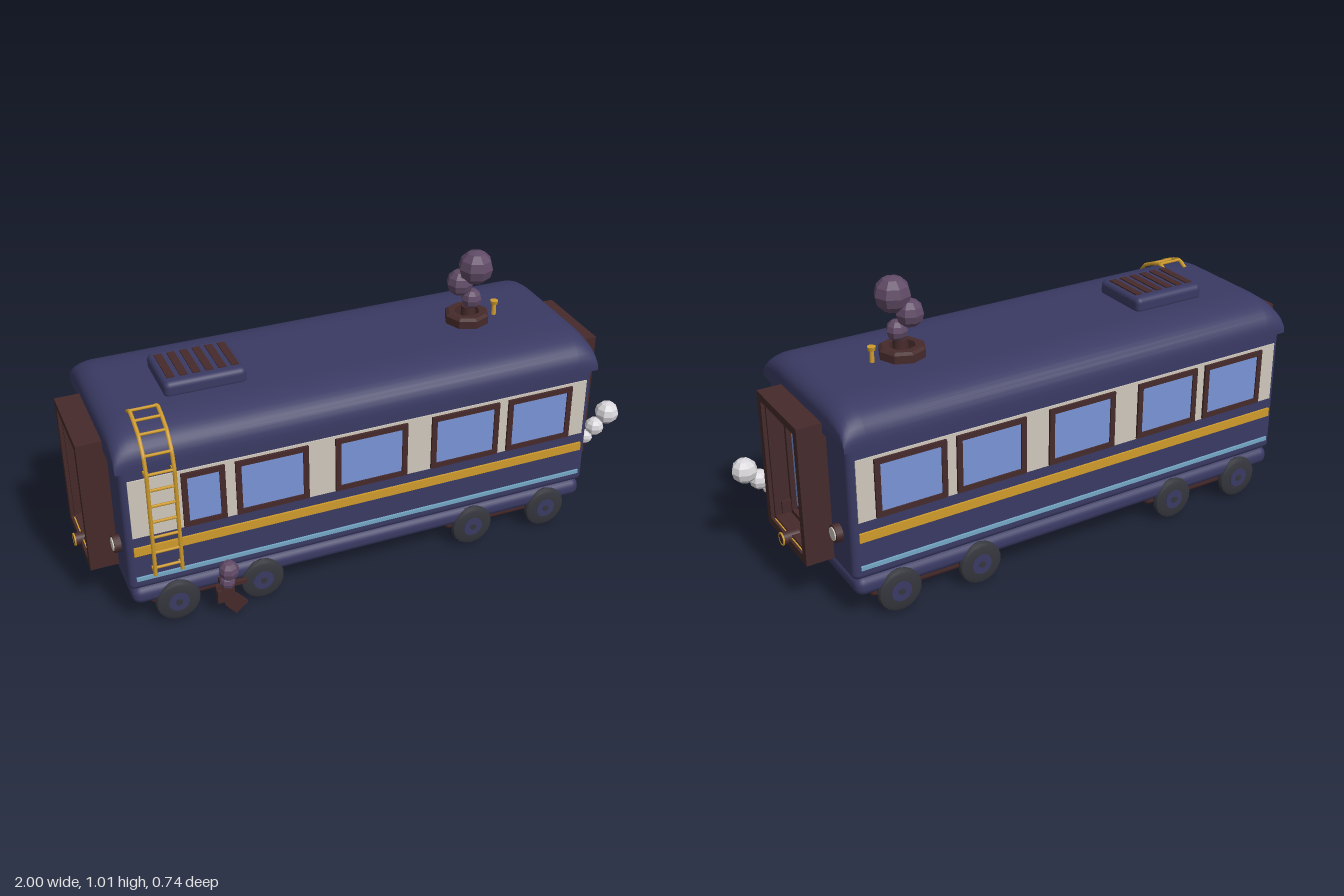
import * as THREE from 'three';
import { toCreasedNormals } from 'three/addons/utils/BufferGeometryUtils.js';
import { RoundedBoxGeometry } from 'three/addons/geometries/RoundedBoxGeometry.js';

const paint = (name, color) => Object.assign(new THREE.MeshStandardMaterial({ color }), { name });
const navy = paint('navy', 0x3a3a64), brown = paint('dark brown', 0x462a2b), cream = paint('cream', 0xcfc8bd);
const brass = paint('brass', 0xd09c2c), glass = paint('window blue', 0x7893d6), aqua = paint('pale blue', 0x74a8c6);
const smoke = paint('purple smoke', 0x604a66), steam = paint('white steam', 0xdad8dc), rubber = paint('rubber', 0x34363d);

const CX = -0.038, CZ = -0.043; // centre of the carriage

function add(parent, name, geo, mat, x = 0, y = 0, z = 0) {
  const m = new THREE.Mesh(geo, mat);
  m.name = name;
  m.position.set(x, y, z);
  parent.add(m);
  return m;
}
const box = (w, h, d) => new THREE.BoxGeometry(w, h, d);
const rbox = (w, h, d, r) => new RoundedBoxGeometry(w, h, d, 3, r);
const cylX = (r, len, n = 16) => new THREE.CylinderGeometry(r, r, len, n).rotateZ(Math.PI / 2);
const V = (...p) => new THREE.Vector3(...p);

// Rectangular frame in the XY plane, centred on the origin
function frameGeo(w, h, border, depth) {
  const rect = (C, a, b) => new C([[-a, -b], [a, -b], [a, b], [-a, b]].map(p => new THREE.Vector2(...p)));
  const s = rect(THREE.Shape, w / 2, h / 2);
  s.holes.push(rect(THREE.Path, w / 2 - border, h / 2 - border));
  return new THREE.ExtrudeGeometry(s, { depth, bevelEnabled: false }).translate(0, 0, -depth / 2);
}

// Straight-segment tube through points
function pipe(points, r, n = 6) {
  const path = new THREE.CurvePath();
  for (let i = 1; i < points.length; i++) path.add(new THREE.LineCurve3(points[i - 1], points[i]));
  return new THREE.TubeGeometry(path, points.length * 6, r, n);
}

// Chain of faceted puffs, each [x, y, z, radius]
function puffs(parent, name, mat, list) {
  for (const [x, y, z, r] of list) {
    const g = new THREE.SphereGeometry(r, 8, 6).toNonIndexed();
    g.computeVertexNormals();
    add(parent, name, g, mat, x, y, z);
  }
}

// Domed roof: arched profile swept along the length, lowered toward both ends
function roofGeo() {
  const s = new THREE.Shape();
  s.moveTo(-0.316, 0.62);
  s.lineTo(0.316, 0.62);
  s.lineTo(0.316, 0.64);
  s.quadraticCurveTo(0.31, 0.735, 0.15, 0.737);
  s.lineTo(-0.15, 0.737);
  s.quadraticCurveTo(-0.31, 0.735, -0.316, 0.64);
  const inset = [0, 0.004, 0.015, 0.033, 0.055, 0.075];
  const stations = [...inset.map(d => d - 0.858), ...inset.map(d => 0.858 - d).reverse()];
  const n = stations.length - 1;
  const g = new THREE.ExtrudeGeometry(s, { depth: n, steps: n, bevelEnabled: false, curveSegments: 10 });
  const p = g.attributes.position;
  for (let i = 0; i < p.count; i++) {
    const at = stations[Math.round(p.getZ(i))];
    const k = 1 - Math.min((0.858 - Math.abs(at)) / 0.075, 1);
    p.setZ(i, at);
    p.setY(i, 0.62 + (p.getY(i) - 0.62) * (0.55 + 0.45 * Math.sqrt(1 - k * k)));
  }
  return toCreasedNormals(g.rotateY(Math.PI / 2), 0.6);
}

// Gangway, door, lamps and buffer for one end, facing +x
function buildEnd() {
  const end = new THREE.Group();
  const frame = (name, w, h, b, d, x) => add(end, name, frameGeo(w, h, b, d).rotateY(Math.PI / 2), brown, x, 0.41, 0);
  frame('gangwayHood', 0.317, 0.49, 0.028, 0.12, 0.883);
  frame('gangwayInnerFrame', 0.27, 0.445, 0.014, 0.095, 0.883);
  frame('doorFrame', 0.246, 0.42, 0.016, 0.03, 0.861);
  add(end, 'doors', box(0.015, 0.42, 0.24), brown, 0.85, 0.41, 0);
  add(end, 'doorStrip', box(0.012, 0.4, 0.01), brown, 0.861, 0.41, 0);
  for (const s of [-1, 1]) {
    add(end, 'doorGlass', box(0.006, 0.355, 0.084), glass, 0.859, 0.412, s * 0.056);
    const z = s * 0.217;
    add(end, 'lampRim', cylX(0.03, 0.04, 12), brown, 0.85, 0.295, z);
    add(end, 'lampLens', cylX(0.023, 0.006, 12), cream, 0.871, 0.295, z);
  }
  add(end, 'threshold', box(0.09, 0.008, 0.24), brass, 0.89, 0.19, 0);
  add(end, 'buffer', cylX(0.022, 0.06), brown, 0.932, 0.188, 0);
  add(end, 'bufferRing', new THREE.TorusGeometry(0.02, 0.0035, 6, 16).rotateY(Math.PI / 2), brass, 0.96, 0.188, 0);
  return end;
}

// Windows and stripes for one side, facing +z
function buildSide(windows) {
  const side = new THREE.Group();
  add(side, 'creamBand', box(1.645, 0.218, 0.008), cream, 0, 0.474, 0.306);
  add(side, 'brassStripe', box(1.645, 0.032, 0.012), brass, 0, 0.31, 0.307);
  add(side, 'paleStripe', box(1.645, 0.014, 0.012), aqua, 0, 0.2, 0.307);
  for (const [a, b] of windows) {
    const x = (a + b) / 2 - CX;
    add(side, 'windowFrame', frameGeo(b - a, 0.205, 0.019, 0.022), brown, x, 0.471, 0.307);
    add(side, 'windowGlass', box(b - a - 0.03, 0.175, 0.006), glass, x, 0.471, 0.31);
  }
  return side;
}

function buildWheel() {
  const wheel = new THREE.Group();
  const profile = [[0.03, -0.015], [0.064, -0.015], [0.074, -0.01], [0.078, 0], [0.074, 0.01], [0.064, 0.015], [0.03, 0.015]];
  const tyre = new THREE.LatheGeometry(profile.map(p => new THREE.Vector2(...p)), 18).rotateX(Math.PI / 2);
  add(wheel, 'tyre', toCreasedNormals(tyre, 0.6), rubber);
  add(wheel, 'hub', new THREE.CylinderGeometry(0.036, 0.036, 0.034, 16).rotateX(Math.PI / 2), navy);
  add(wheel, 'hubCap', new THREE.CylinderGeometry(0.012, 0.012, 0.04, 10).rotateX(Math.PI / 2), rubber);
  return wheel;
}

export function createModel() {
  const model = new THREE.Group();
  model.name = 'railCarriage';
  const car = new THREE.Group();
  car.name = 'carriage';
  car.position.set(CX, 0, CZ);
  model.add(car);

  // Shell
  add(car, 'body', rbox(1.694, 0.485, 0.612, 0.022), navy, 0, 0.395, 0);
  add(car, 'skirt', rbox(1.68, 0.068, 0.624, 0.03), navy, 0, 0.123, 0);
  add(car, 'roof', roofGeo(), navy);

  // Ends
  for (const [name, turn] of [['rightEnd', 0], ['leftEnd', Math.PI]]) {
    const end = buildEnd();
    end.name = name;
    end.rotation.y = turn;
    car.add(end);
  }

  // Sides; the front has a shorter window beside the ladder
  const shared = [[-0.51, -0.26], [-0.165, 0.095], [0.185, 0.44], [0.475, 0.725]];
  const front = buildSide([[-0.69, -0.545], ...shared]);
  front.name = 'frontSide';
  const back = buildSide([[-0.725, -0.475], [-0.44, -0.185], [-0.095, 0.165], [0.26, 0.51], [0.545, 0.8]].map(w => w.map(x => x + 2 * CX)));
  back.name = 'backSide';
  back.rotation.y = Math.PI;
  // turning flips x, so place the back windows by their mirrored centres
  back.children.filter(m => m.name.startsWith('window')).forEach((m, i) => {
    const centres = [0.6, 0.312, -0.035, -0.385, -0.672];
    m.position.x = -(centres[Math.floor(i / 2)] - CX);
  });
  car.add(front, back);

  // Running gear
  for (const bx of [-0.582, 0.507]) {
    add(car, 'bogie', rbox(0.46, 0.052, 0.54, 0.018), brown, bx - CX, 0.071, 0);
    for (const dx of [-0.148, 0.148]) for (const s of [-1, 1]) {
      const wheel = buildWheel();
      wheel.name = 'wheel';
      wheel.position.set(bx + dx - CX, 0.078, s * 0.307);
      car.add(wheel);
    }
  }

  // Roof vent
  add(model, 'roofVent', rbox(0.28, 0.06, 0.232, 0.02), navy, -0.53, 0.755, -0.046);
  for (let i = 0; i < 6; i++) add(model, 'ventSlat', box(0.026, 0.01, 0.16), brown, -0.638 + i * 0.0435, 0.784, -0.046);

  // Chimney ring, whistle and smoke
  const ring = [[0.045, 0.73], [0.08, 0.73], [0.08, 0.765], [0.068, 0.773], [0.045, 0.773], [0.045, 0.73]];
  add(model, 'chimneyRing', toCreasedNormals(new THREE.LatheGeometry(ring.map(p => new THREE.Vector2(...p)), 8), 0.3), brown, 0.462, 0, -0.045);
  add(model, 'chimneyPipe', new THREE.CylinderGeometry(0.025, 0.03, 0.07, 8), brown, 0.465, 0.76, -0.04);
  add(model, 'whistleStem', new THREE.CylinderGeometry(0.007, 0.009, 0.05, 8), brass, 0.57, 0.76, -0.045);
  add(model, 'whistleTop', new THREE.CylinderGeometry(0.015, 0.012, 0.014, 8), brass, 0.57, 0.784, -0.045);
  puffs(model, 'chimneySmoke', smoke, [[0.473, 0.823, -0.036, 0.037], [0.436, 0.882, -0.057, 0.048], [0.48, 0.945, -0.028, 0.062]]);

  // Ladder bending over the roof edge
  const rail = [[0.22, 0.29], [0.61, 0.29], [0.67, 0.274], [0.723, 0.23], [0.745, 0.18], [0.757, 0.135], [0.735, 0.1]];
  for (const x of [-0.802, -0.712]) {
    add(model, 'ladderRail', pipe(rail.map(([y, z]) => V(x, y, z)), 0.007), brass);
    for (const y of [0.235, 0.605]) add(model, 'ladderBracket', box(0.012, 0.012, 0.035), brass, x, y, 0.273);
  }
  const rungs = [0.25, 0.31, 0.37, 0.43, 0.49, 0.55, 0.61].map(y => [y, 0.29]).concat(rail.slice(2, 6));
  for (const [y, z] of rungs) add(model, 'ladderRung', cylX(0.005, 0.09, 6), brass, -0.757, y, z);

  // Steam valve on the right end
  add(model, 'steamPipe', pipe([V(0.868, 0.26, 0.165), V(0.865, 0.22, 0.152), V(0.855, 0.195, 0.135), V(0.84, 0.195, 0.08)], 0.012, 8), brown);
  add(model, 'steamValve', box(0.05, 0.045, 0.03), brown, 0.845, 0.23, 0.085);
  add(model, 'valveLever', pipe([V(0.85, 0.24, 0.08), V(0.875, 0.13, 0.105)], 0.008), brown);
  add(model, 'valveKnob', cylX(0.01, 0.05, 8), brass, 0.835, 0.298, 0.128);
  puffs(model, 'steam', steam, [[0.873, 0.267, 0.163, 0.026], [0.906, 0.305, 0.165, 0.035], [0.955, 0.353, 0.163, 0.044]]);

  // Exhaust spout on the front
  add(model, 'spoutArm', box(0.11, 0.014, 0.014), brown, -0.558, 0.125, 0.312);
  add(model, 'spoutPipe', box(0.026, 0.06, 0.016), brown, -0.58, 0.125, 0.315);
  add(model, 'spoutBody', box(0.06, 0.05, 0.018), brown, -0.58, 0.09, 0.316);
  add(model, 'spoutFlap', box(0.055, 0.055, 0.016), brown, -0.545, 0.045, 0.317).rotation.z = 0.7;
  add(model, 'spoutMount', box(0.02, 0.02, 0.06), brown, -0.58, 0.12, 0.285);
  add(model, 'spoutKnob', box(0.014, 0.014, 0.02), brass, -0.565, 0.165, 0.306);
  puffs(model, 'spoutSmoke', smoke, [[-0.575, 0.155, 0.33, 0.027], [-0.57, 0.203, 0.335, 0.035]]);

  return model;
}
